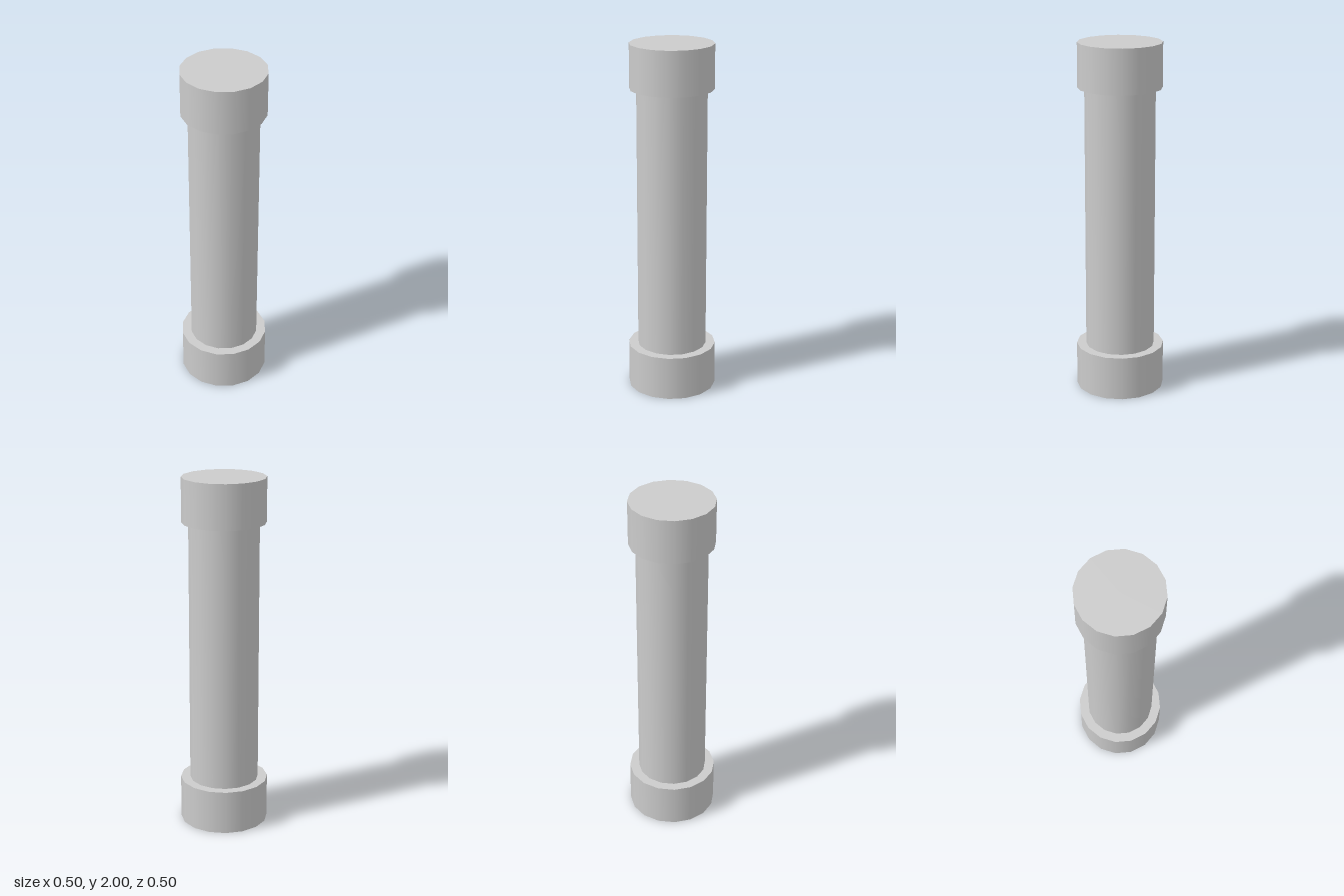
import * as THREE from 'three';

export function createModel() {
  const model = new THREE.Group();
  const material = new THREE.MeshStandardMaterial({ color: 0xcccccc });

  // Upright 16-sided drum with smooth sides and flat ends
  function addDrum(name, radius, bottom, top) {
    const geometry = new THREE.CylinderGeometry(radius, radius, top - bottom, 16);
    const mesh = new THREE.Mesh(geometry, material);
    mesh.name = name;
    mesh.position.y = (bottom + top) / 2;
    model.add(mesh);
  }

  addDrum('base', 0.25, 0, 0.25);
  addDrum('shaft', 0.196, 0.25, 1.75);
  addDrum('capital', 0.234, 1.75, 2);

  return model;
}
